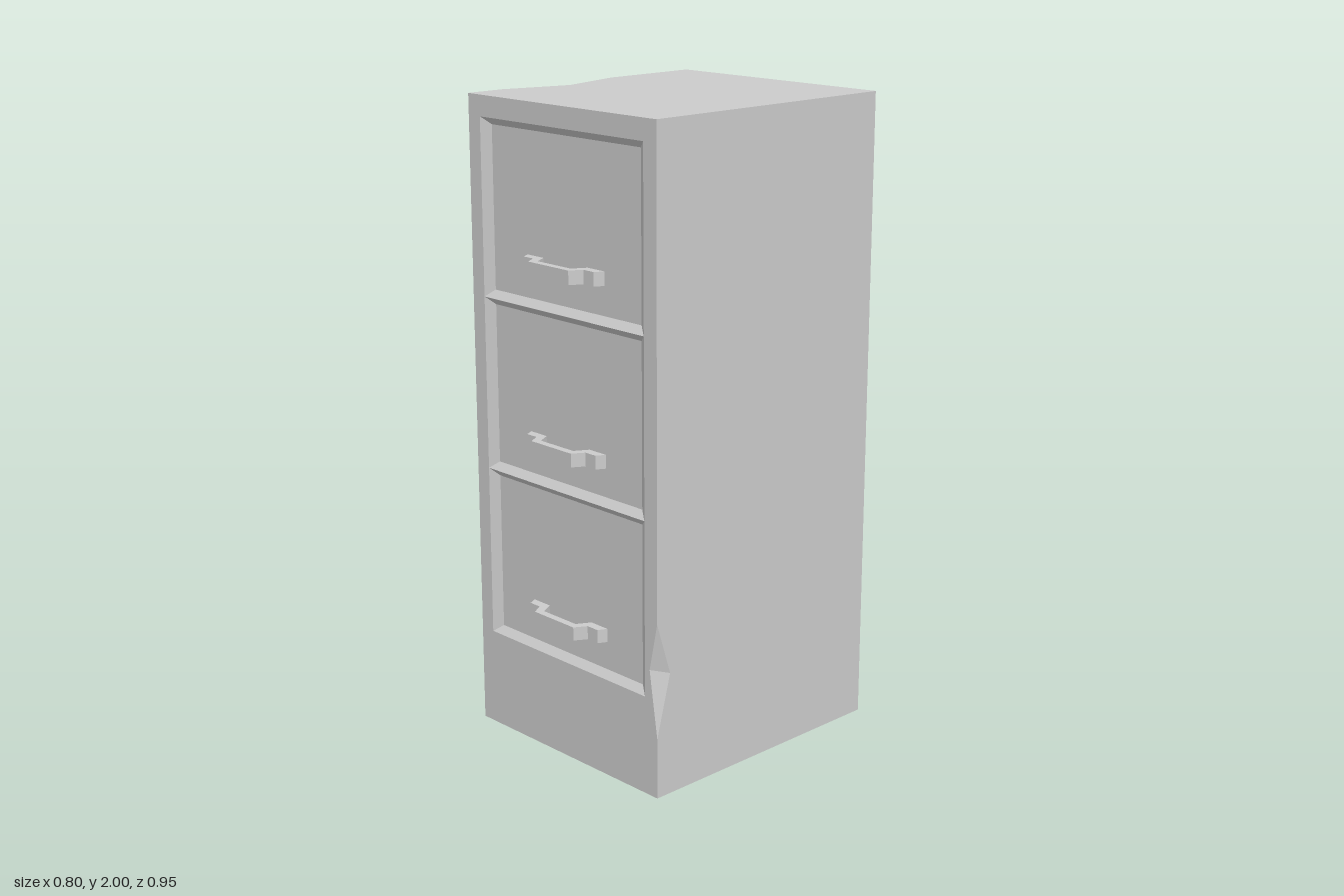
import * as THREE from 'three';

const X = 0.402, H = 2, BACK = -0.475, FRONT = 0.427, PANEL = 0.407;
const PX = 0.35, BOTTOM = 0.31, STEP = 0.542, DRAWERS = 3;
const TOP = BOTTOM + STEP * DRAWERS;
const v = (x, y, z) => new THREE.Vector3(x, y, z);

// Flat polygon (with optional hole) facing along the given outward direction
function addFace(out, outward, points, hole = []) {
  const ax = ['x', 'y', 'z'].sort((a, b) => Math.abs(outward[a]) - Math.abs(outward[b]));
  const flat = (list) => list.map((p) => new THREE.Vector2(p[ax[0]], p[ax[1]]));
  const all = [...points, ...hole];
  const tris = THREE.ShapeUtils.triangulateShape(flat(points), hole.length ? [flat(hole)] : []);
  for (const [i, j, k] of tris) {
    const a = all[i], b = all[j], c = all[k];
    const n = b.clone().sub(a).cross(c.clone().sub(a));
    const order = n.dot(outward) > 0 ? [a, b, c] : [a, c, b];
    for (const p of order) out.push(p.x, p.y, p.z);
  }
}

function toMesh(out, name, material) {
  const geometry = new THREE.BufferGeometry();
  geometry.setAttribute('position', new THREE.Float32BufferAttribute(out, 3));
  geometry.computeVertexNormals();
  const mesh = new THREE.Mesh(geometry, material);
  mesh.name = name;
  return mesh;
}

const rect = (x, y0, y1, z) => [v(-x, y0, z), v(x, y0, z), v(x, y1, z), v(-x, y1, z)];

// Each dent cuts an edge from a to b, reaching p and q on the two faces beside it
const dents = {
  frontCorner: { a: v(X, 0.19, FRONT), b: v(X, 0.55, FRONT), p: v(0.37, 0.4, FRONT), q: v(X, 0.385, 0.375), out: v(1, 0, 1.01) },
  backCorner: { a: v(-X, 0.31, BACK), b: v(-X, 0.86, BACK), p: v(-0.342, 0.62, BACK), q: v(-X, 0.63, -0.4), out: v(-1, 0, -1.01) },
  topEdge: { a: v(-X, H, -0.145), b: v(-X, H, 0.3), p: v(-0.342, H, 0.08), q: v(-X, 1.957, 0.085), out: v(-1, 1.01, 0) },
};

function createCase(material) {
  const out = [];
  const { frontCorner: f, backCorner: k, topEdge: t } = dents;
  // Front frame around the drawers
  addFace(out, v(0, 0, 1),
    [v(-X, 0, FRONT), v(X, 0, FRONT), f.a, f.p, f.b, v(X, H, FRONT), v(-X, H, FRONT)],
    rect(PX, BOTTOM, TOP, FRONT));
  // Sides, back, top and bottom
  addFace(out, v(1, 0, 0),
    [v(X, 0, BACK), v(X, 0, FRONT), f.a, f.q, f.b, v(X, H, FRONT), v(X, H, BACK)]);
  addFace(out, v(-1, 0, 0),
    [v(-X, 0, FRONT), v(-X, 0, BACK), k.a, k.q, k.b, v(-X, H, BACK), t.a, t.q, t.b, v(-X, H, FRONT)]);
  addFace(out, v(0, 0, -1),
    [v(X, 0, BACK), v(-X, 0, BACK), k.a, k.p, k.b, v(-X, H, BACK), v(X, H, BACK)]);
  addFace(out, v(0, 1, 0),
    [v(-X, H, BACK), t.a, t.p, t.b, v(-X, H, FRONT), v(X, H, FRONT), v(X, H, BACK)]);
  addFace(out, v(0, -1, 0),
    [v(-X, 0, BACK), v(X, 0, BACK), v(X, 0, FRONT), v(-X, 0, FRONT)]);
  // Two triangles close each dent
  for (const d of Object.values(dents)) {
    for (const end of [d.a, d.b]) addFace(out, d.out, [end, d.p, d.q]);
  }
  return toMesh(out, 'cabinetCase', material);
}

// Recessed panel with a sloping rim
function createDrawerFront(y0, material) {
  const out = [];
  const outer = rect(PX, y0, y0 + STEP, FRONT);
  const inner = rect(PX - 0.03, y0 + 0.023, y0 + STEP - 0.022, PANEL);
  addFace(out, v(0, 0, 1), inner);
  for (let i = 0; i < 4; i++) {
    const j = (i + 1) % 4;
    addFace(out, v(0, 0, 1), [outer[i], outer[j], inner[j], inner[i]]);
  }
  return toMesh(out, 'drawerFront', material);
}

// Bent strap handle, drawn in x and z and extruded upright
function createHandle(y, material) {
  const half = [[0.167, PANEL], [0.153, 0.435], [0.11, 0.435], [0.088, 0.473]];
  const inside = [[0.072, 0.45], [0.096, PANEL]];
  const mirror = (list) => list.map(([x, z]) => [-x, z]).reverse();
  const outline = [...half, ...mirror(half), ...mirror(inside), ...inside];
  // Underside runs from the left foot back to the right foot
  const under = [...mirror(inside).reverse()].reverse();
  const path = [...half, ...mirror(half), ...under, ...inside].slice(0, outline.length);
  const shape = new THREE.Shape(path.map(([x, z]) => new THREE.Vector2(x, z)));
  const height = 0.042;
  const geometry = new THREE.ExtrudeGeometry(shape, { depth: height, bevelEnabled: false });
  geometry.rotateX(Math.PI / 2);
  geometry.translate(0, y + height / 2, 0);
  const mesh = new THREE.Mesh(geometry, material);
  mesh.name = 'drawerHandle';
  return mesh;
}

export function createModel() {
  const group = new THREE.Group();
  group.name = 'filingCabinet';
  const material = new THREE.MeshStandardMaterial({ color: 0xcccccc, flatShading: true });
  group.add(createCase(material));
  for (let i = 0; i < DRAWERS; i++) {
    const drawer = new THREE.Group();
    drawer.name = 'drawer';
    const y0 = BOTTOM + STEP * i;
    drawer.add(createDrawerFront(y0, material), createHandle(y0 + 0.132, material));
    group.add(drawer);
  }
  return group;
}
